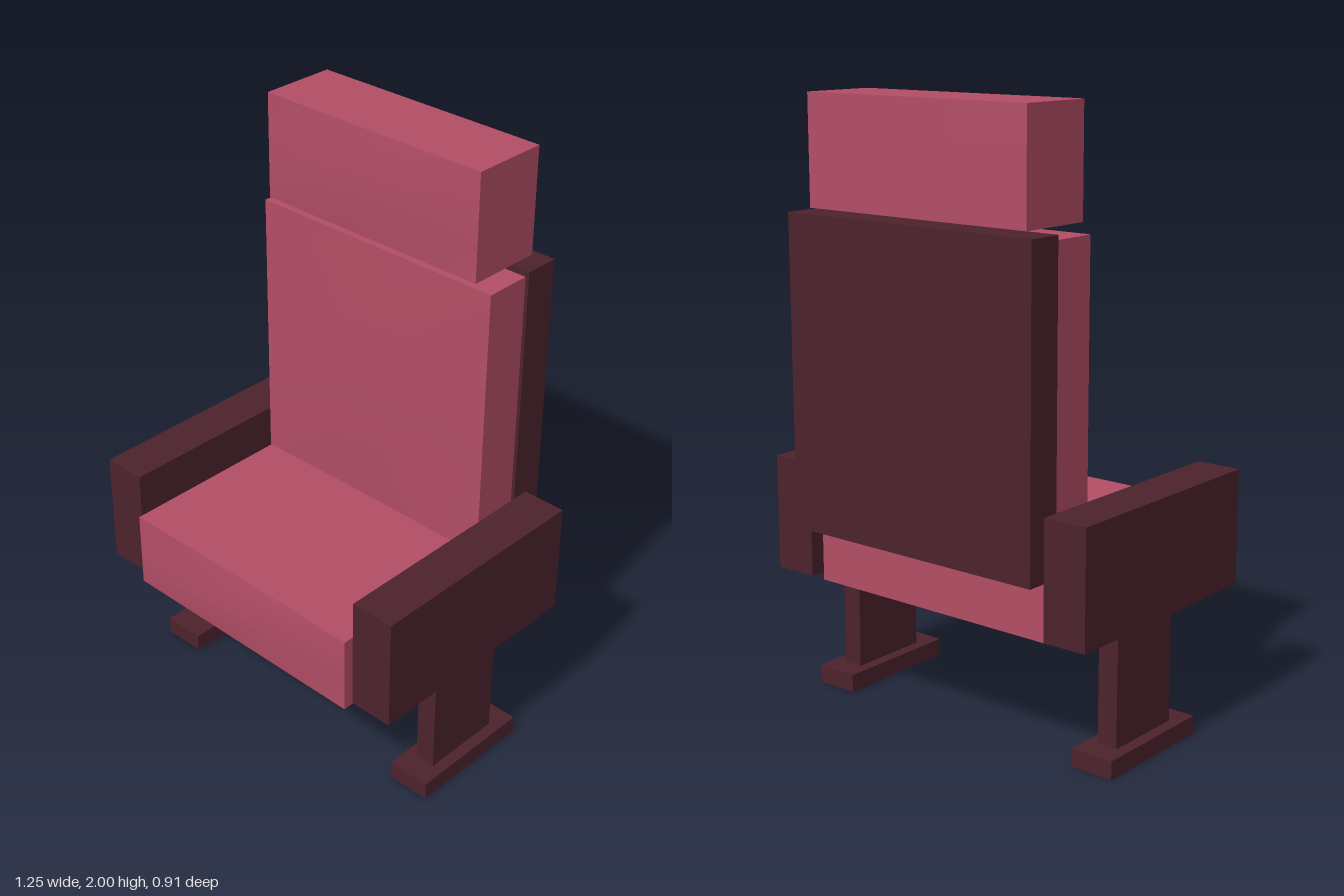
import * as THREE from 'three';

const upholstery = new THREE.MeshStandardMaterial({ color: 0xb34e66 });
upholstery.name = 'rose upholstery';
const frame = new THREE.MeshStandardMaterial({ color: 0x4d222d });
frame.name = 'dark frame';

// Box given by its lower and upper limits on each axis
function box(name, material, [x0, x1], [y0, y1], [z0, z1], sx = 1, sy = 1) {
  const geo = new THREE.BoxGeometry(x1 - x0, y1 - y0, z1 - z0, sx, sy, 1);
  const mesh = new THREE.Mesh(geo, material);
  mesh.name = name;
  mesh.position.set((x0 + x1) / 2, (y0 + y1) / 2, (z0 + z1) / 2);
  return mesh;
}

// Padded box whose front face swells gently away from its edges
function cushion(name, halfWidth, ys, zs, bulge, rows, crown = 0) {
  const mesh = box(name, upholstery, [-halfWidth, halfWidth], ys, zs, 3, rows);
  const h = ys[1] - ys[0], d = zs[1] - zs[0];
  const pos = mesh.geometry.attributes.position;
  for (let i = 0; i < pos.count; i++) {
    const x = pos.getX(i), y = pos.getY(i), z = pos.getZ(i);
    const inX = Math.abs(x) < halfWidth - 1e-4;
    const inY = Math.abs(y) < h / 2 - 1e-4;
    if (z > d / 2 - 1e-4 && inX && inY) pos.setZ(i, z + bulge);
    if (y > h / 2 - 1e-4 && inX) pos.setY(i, y + crown);
  }
  mesh.geometry.computeVertexNormals();
  return mesh;
}

export function createModel() {
  const chair = new THREE.Group();
  chair.name = 'auditoriumChair';

  // Padding
  chair.add(
    cushion('seatCushion', 0.463, [0.43, 0.69], [-0.35, 0.435], 0.018, 2, 0.004),
    cushion('backCushion', 0.465, [0.69, 1.62], [-0.33, -0.17], 0.014, 3),
    cushion('headrest', 0.423, [1.65, 2.0], [-0.41, -0.15], 0.011, 3)
  );

  // Back shell and the bar under the seat
  chair.add(box('backPanel', frame, [-0.475, 0.475], [0.63, 1.637], [-0.453, -0.333]));
  const bar = new THREE.Mesh(new THREE.CylinderGeometry(0.038, 0.038, 0.97, 16), frame);
  bar.name = 'seatBar';
  bar.rotation.z = Math.PI / 2;
  bar.position.set(0, 0.388, -0.11);
  chair.add(bar);

  // Armrest, post and foot on each side
  for (const [side, s] of [['left', 1], ['right', -1]]) {
    const span = (a, b) => (s > 0 ? [a, b] : [-b, -a]);
    chair.add(
      box(side + 'Armrest', frame, span(0.475, 0.625), [0.45, 0.83], [-0.39, 0.413]),
      box(side + 'Post', frame, span(0.5, 0.57), [0.06, 0.45], [-0.15, 0.132]),
      box(side + 'Foot', frame, span(0.461, 0.61), [0, 0.06], [-0.23, 0.212])
    );
  }
  return chair;
}
